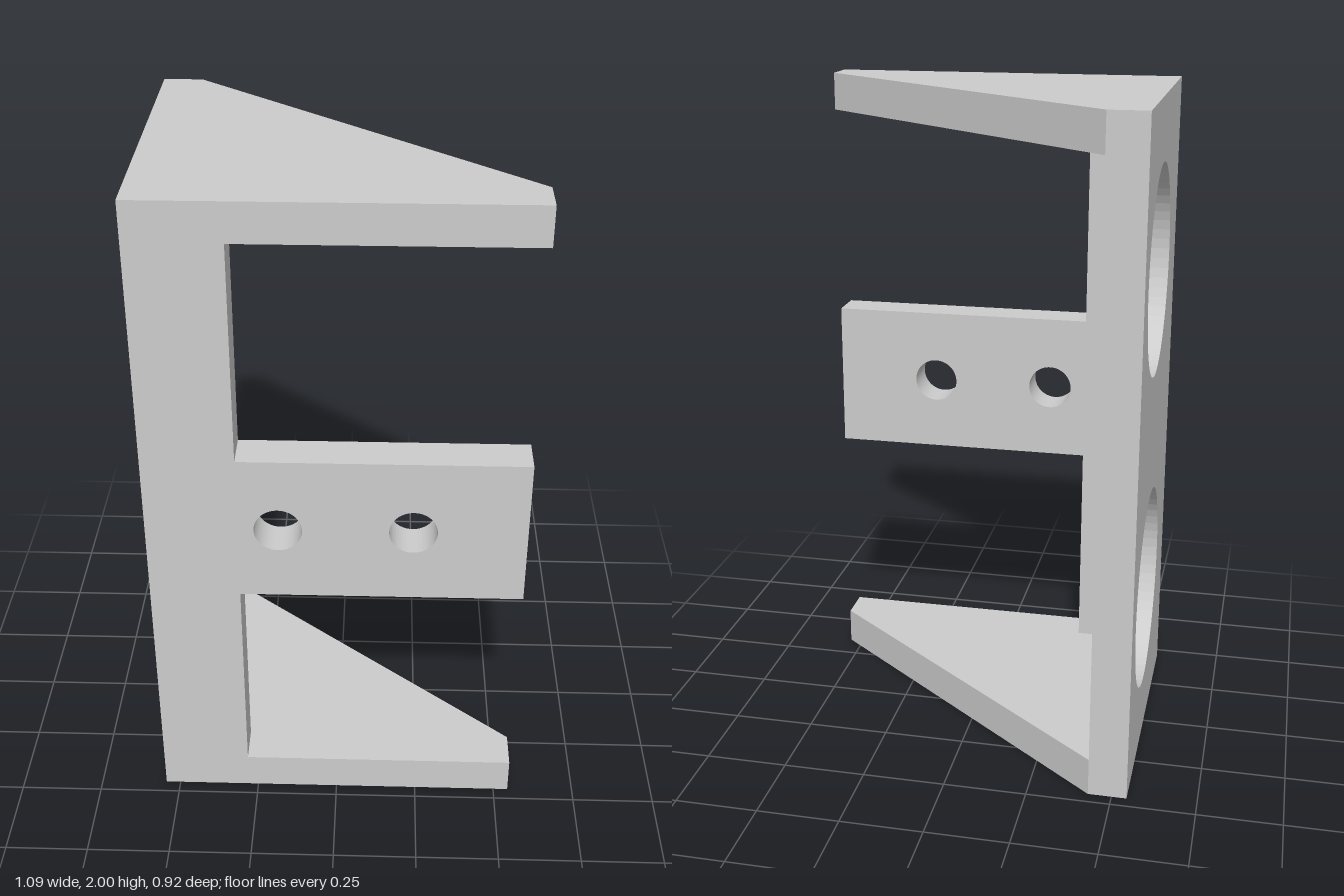
import * as THREE from 'three';

const X = 0.545, Z = 0.46, H = 2, T = 0.115; // half width, half depth, height, plate thickness
const INNER = -X + T;

// Extruded plate from an outline and round holes [u, v, radius]
function plate(points, holes = []) {
  const shape = new THREE.Shape(points.map(([u, v]) => new THREE.Vector2(u, v)));
  for (const [u, v, r] of holes) {
    const hole = new THREE.Path();
    hole.absarc(u, v, r, 0, Math.PI * 2, true);
    shape.holes.push(hole);
  }
  return new THREE.ExtrudeGeometry(shape, { depth: T, bevelEnabled: false, curveSegments: 32 });
}

export function createModel() {
  const group = new THREE.Group();
  const grey = new THREE.MeshStandardMaterial({ color: 0xcccccc });
  grey.name = 'light grey';
  const add = (name, geometry) => {
    const mesh = new THREE.Mesh(geometry, grey);
    mesh.name = name;
    group.add(mesh);
  };

  // Side plate with two large round openings
  const side = plate(
    [[-Z, T], [Z, T], [Z, H - T], [-Z, H - T]],
    [[-0.055, 0.5, 0.31], [-0.055, 1.5, 0.31]]
  );
  side.rotateY(-Math.PI / 2).translate(INNER, 0, 0);
  add('sidePlate', side);

  // Front plate: upright strip with a drilled mounting tongue
  const front = plate(
    [[INNER, T], [-0.28, T], [-0.28, 0.77], [X, 0.77], [X, 1.23], [-0.28, 1.23], [-0.28, H - T], [INNER, H - T]],
    [[-0.165, 1, 0.069], [0.22, 1, 0.069]]
  );
  front.translate(0, 0, Z - T);
  add('frontPlate', front);

  // Triangular end plates with clipped corners
  for (const [name, top] of [['bottomPlate', T], ['topPlate', H]]) {
    const end = plate([[-X, -Z], [INNER, -Z], [X, Z - T], [X, Z], [-X, Z]]);
    end.rotateX(Math.PI / 2).translate(0, top, 0);
    add(name, end);
  }
  return group;
}
